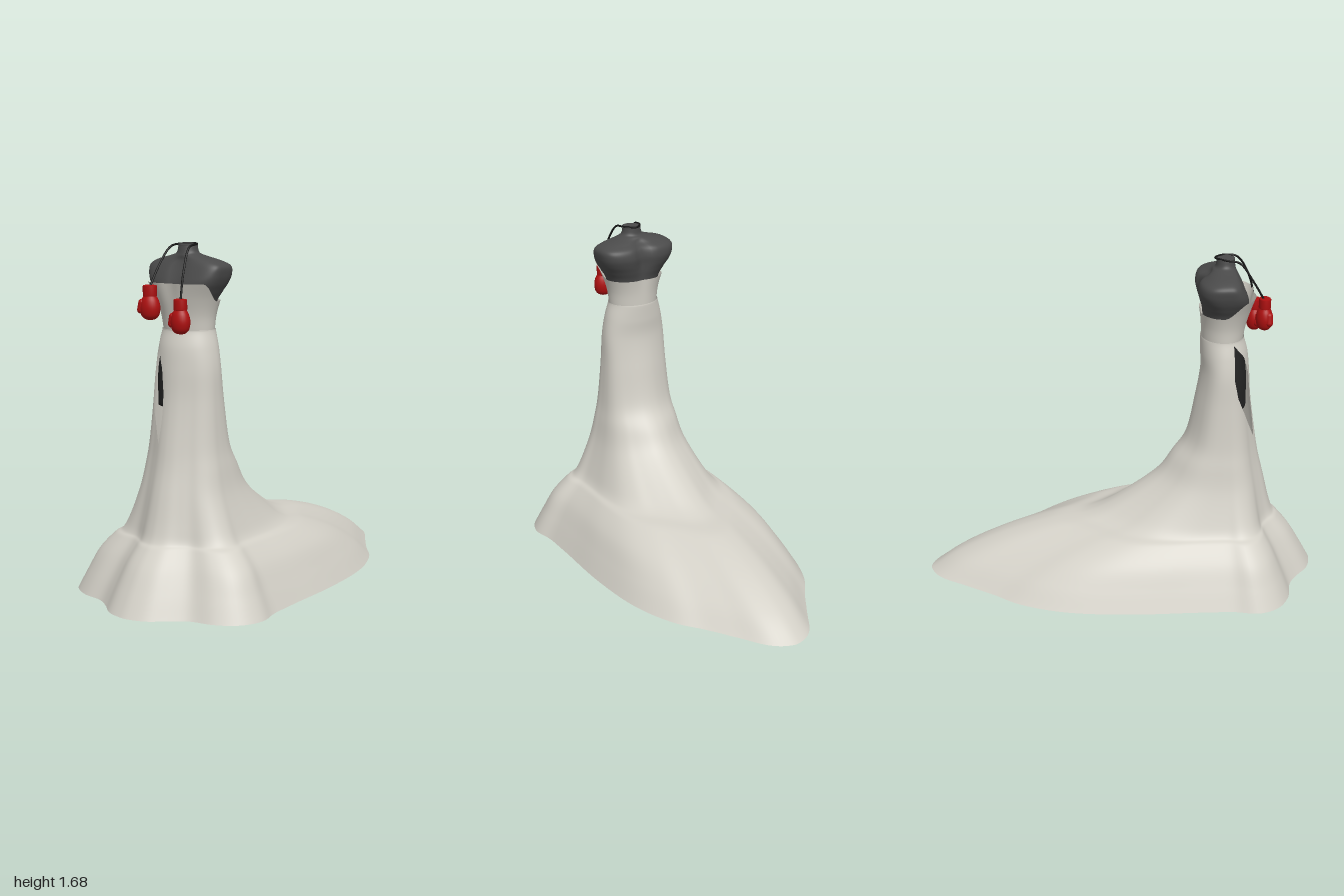
import * as THREE from 'three';

const mat = (name, color, side = THREE.FrontSide) => {
  const m = new THREE.MeshStandardMaterial({ color, side });
  m.name = name;
  return m;
};

const CZ = 0.5; // depth of the body's vertical axis

// Smooth sampler over table rows, t in 0..1
function sampler(rows) {
  const c = new THREE.CubicInterpolant(rows.map((_, i) => i), rows.flat(), rows[0].length, new Float32Array(rows[0].length));
  return t => c.evaluate(t * (rows.length - 1));
}

// Surface from horizontal rings listed upwards; fn(v, u) gives a point
function loft(nv, nu, fn) {
  const pos = [], idx = [], row = nu + 1;
  for (let i = 0; i <= nv; i++) {
    for (let j = 0; j <= nu; j++) pos.push(...fn(i / nv, j / nu));
  }
  for (let i = 0; i < nv; i++) {
    for (let j = 0; j < nu; j++) {
      const a = i * row + j, d = a + row;
      idx.push(a, a + 1, d + 1, a, d + 1, d);
    }
  }
  const g = new THREE.BufferGeometry();
  g.setAttribute('position', new THREE.Float32BufferAttribute(pos, 3));
  g.setIndex(idx);
  g.computeVertexNormals();
  // smooth the seam wherever a ring is closed
  const p = g.attributes.position, n = g.attributes.normal;
  const A = new THREE.Vector3(), B = new THREE.Vector3();
  for (let i = 0; i <= nv; i++) {
    const a = i * row, b = a + nu;
    if (A.fromBufferAttribute(p, a).distanceTo(B.fromBufferAttribute(p, b)) > 1e-4) continue;
    A.fromBufferAttribute(n, a).add(B.fromBufferAttribute(n, b)).normalize();
    n.setXYZ(a, A.x, A.y, A.z);
    n.setXYZ(b, A.x, A.y, A.z);
  }
  return g;
}

// Point on a ring; angle 0 faces front, pi/2 faces +x
function ringPoint(th, y, w, zf, zb, e = 1, notch = 0) {
  const s = Math.sin(th), c = Math.cos(th);
  const x = w * Math.sign(s) * Math.abs(s) ** e;
  const dip = notch * Math.exp(-((x / 0.035) ** 2));
  const z = c > 0 ? (zf - CZ) * c ** e - dip * 0.5 : -(CZ - zb) * (-c) ** e + dip;
  return [x, y, CZ + z];
}

// Hem radius factor every 12 degrees from front to back: the folds
const foldAt = sampler([1, 0.965, 0.885, 0.875, 0.985, 1.06, 1.055, 0.975, 0.965, 1.01, 1.04, 1.01, 0.955, 0.95, 0.985, 1].map(r => [r]));

// Skirt rings: y, half width, front z, back z, fold strength
const skirtAt = sampler([
  [0, 0.535, 1, -1, 1], [0.1, 0.485, 0.945, -0.85, 1.05],
  [0.2, 0.43, 0.885, -0.63, 1.15], [0.28, 0.36, 0.82, -0.37, 1.1],
  [0.31, 0.32, 0.79, -0.18, 0.95], [0.38, 0.285, 0.765, -0.03, 0.75],
  [0.52, 0.235, 0.73, 0.17, 0.55], [0.64, 0.21, 0.7, 0.26, 0.45],
  [0.75, 0.192, 0.68, 0.33, 0.4], [0.95, 0.177, 0.65, 0.372, 0.3],
  [1.1, 0.17, 0.637, 0.395, 0.15], [1.2, 0.155, 0.625, 0.392, 0.05],
  [1.27, 0.137, 0.606, 0.39, 0], [1.285, 0.134, 0.604, 0.391, 0],
]);

// Slit edges by height: angles in degrees of the inner and outer edge
const slit = new THREE.LinearInterpolant(
  [0.75, 0.85, 0.92, 1, 1.1, 1.2, 1.27],
  [-18, -18, -14.5, -36, -14, -49, -16, -62, -22, -70, -40, -69, -67, -67], 2, new Float32Array(2));

function skirtPoint(v, u) {
  const [y, w, zf, zb, m] = skirtAt(v);
  const [inner, outer] = slit.evaluate(THREE.MathUtils.clamp(y, 0.75, 1.27));
  const th = THREE.MathUtils.degToRad(inner + u * (360 + outer - inner));
  const around = Math.acos(THREE.MathUtils.clamp(Math.cos(th), -1, 1)) / Math.PI;
  const k = 1 + (foldAt(around)[0] - 1) * m;
  return ringPoint(th, Math.max(y, 0), w * k, CZ + (zf - CZ) * k, CZ - (CZ - zb) * k);
}

// Torso rings: y, half width, front z, back z, squareness, centre notch
const torsoAt = sampler([
  [1.26, 0.118, 0.59, 0.405, 1, 0], [1.4, 0.138, 0.61, 0.395, 0.95, 0.005],
  [1.46, 0.168, 0.62, 0.38, 0.85, 0.015], [1.5, 0.19, 0.612, 0.37, 0.7, 0.025],
  [1.54, 0.203, 0.595, 0.364, 0.62, 0.03], [1.58, 0.203, 0.575, 0.375, 0.62, 0.03],
  [1.605, 0.165, 0.562, 0.41, 0.75, 0.02], [1.625, 0.09, 0.553, 0.44, 0.9, 0],
  [1.64, 0.055, 0.55, 0.455, 1, 0], [1.675, 0.045, 0.545, 0.46, 1, 0],
]);

// Hip rings, the same without notch
const hipsAt = sampler([[0.92, 0.16, 0.625, 0.41], [1.1, 0.158, 0.62, 0.41], [1.27, 0.12, 0.59, 0.405]]);

// Bodice rings: y, half width, front z, back z, squareness, notch
const bodiceAt = sampler([
  [1.27, 0.128, 0.598, 0.395, 1, 0], [1.35, 0.137, 0.612, 0.389, 0.96, 0.003],
  [1.43, 0.16, 0.633, 0.377, 0.88, 0.01], [1.51, 0.193, 0.655, 0.362, 0.75, 0.02],
]);

function bodicePoint(v, u) {
  const th = u * Math.PI * 2;
  const side = Math.acos(THREE.MathUtils.clamp(Math.cos(th), -1, 1));
  // neckline is high in front and drops under the arms
  const top = 1.503 - 0.085 * THREE.MathUtils.smoothstep(side, 0.95, 1.65);
  const h = v * (top - 1.27) / 0.24;
  return ringPoint(th, ...bodiceAt(h));
}

function makeGlove(red, x, y, z, turn) {
  const g = new THREE.Group();
  g.name = 'boxingGlove';
  const add = (geo, name) => {
    const m = new THREE.Mesh(geo, red);
    m.name = name;
    g.add(m);
    return m;
  };
  // fist and cuff in one turned profile, hanging down from y = 0
  const profile = [[0, -0.16], [0.022, -0.157], [0.04, -0.143], [0.048, -0.12], [0.049, -0.095], [0.043, -0.07], [0.033, -0.052], [0.031, -0.046]];
  const spline = new THREE.SplineCurve(profile.map(p => new THREE.Vector2(...p)));
  add(new THREE.LatheGeometry(spline.getPoints(24), 28), 'gloveFist').scale.z = 0.82;
  const cuff = [[0.03, -0.052], [0.034, -0.047], [0.034, -0.004], [0.031, 0], [0, 0]].map(p => new THREE.Vector2(...p));
  add(new THREE.LatheGeometry(cuff, 28), 'gloveCuff').scale.z = 0.85;
  const thumb = add(new THREE.CapsuleGeometry(0.018, 0.034, 8, 16), 'gloveThumb');
  thumb.position.set(-0.037, -0.097, 0.014);
  thumb.rotation.z = -0.2;
  g.position.set(x, y, z);
  g.rotation.y = turn;
  return g;
}

export function createModel() {
  const fabric = mat('ivoryFabric', 0xd3d0c7, THREE.DoubleSide);
  const charcoal = mat('charcoalForm', 0x4a4a4a);
  const black = mat('blackForm', 0x242424);
  const cordMat = mat('blackCord', 0x151515);
  const red = mat('redLeather', 0xad1010);

  const model = new THREE.Group();
  model.name = 'gownOnDressForm';
  const add = (geo, material, name) => {
    const m = new THREE.Mesh(geo, material);
    m.name = name;
    model.add(m);
    return m;
  };

  // gown
  add(loft(130, 144, skirtPoint), fabric, 'skirtWithTrain');
  add(loft(24, 96, bodicePoint), fabric, 'bodice');

  // dress form
  add(loft(54, 80, (v, u) => ringPoint(u * Math.PI * 2, ...torsoAt(v))), charcoal, 'torso');
  const neck = add(new THREE.CylinderGeometry(0.046, 0.046, 0.008, 32), charcoal, 'neckCap');
  neck.position.set(0, 1.673, 0.502);
  add(loft(24, 64, (v, u) => {
    const p = ringPoint(u * Math.PI * 2, ...hipsAt(Math.max(0, (v * 24 - 1) / 23)));
    return v === 0 ? [0, p[1], CZ] : p; // closed underside
  }), black, 'hips');

  // gloves hanging from a cord around the neck
  const cord = new THREE.CatmullRomCurve3([
    [-0.08, 1.48, 0.69], [-0.072, 1.58, 0.63], [-0.055, 1.665, 0.565], [-0.047, 1.677, 0.5], [0, 1.678, 0.452],
    [0.047, 1.677, 0.5], [0.055, 1.665, 0.565], [0.073, 1.56, 0.63], [0.08, 1.42, 0.665],
  ].map(p => new THREE.Vector3(...p)));
  add(new THREE.TubeGeometry(cord, 80, 0.005, 8), cordMat, 'neckCord');
  model.add(makeGlove(red, -0.077, 1.495, 0.69, 0.15));
  model.add(makeGlove(red, 0.08, 1.437, 0.665, -0.1));

  return model;
}
